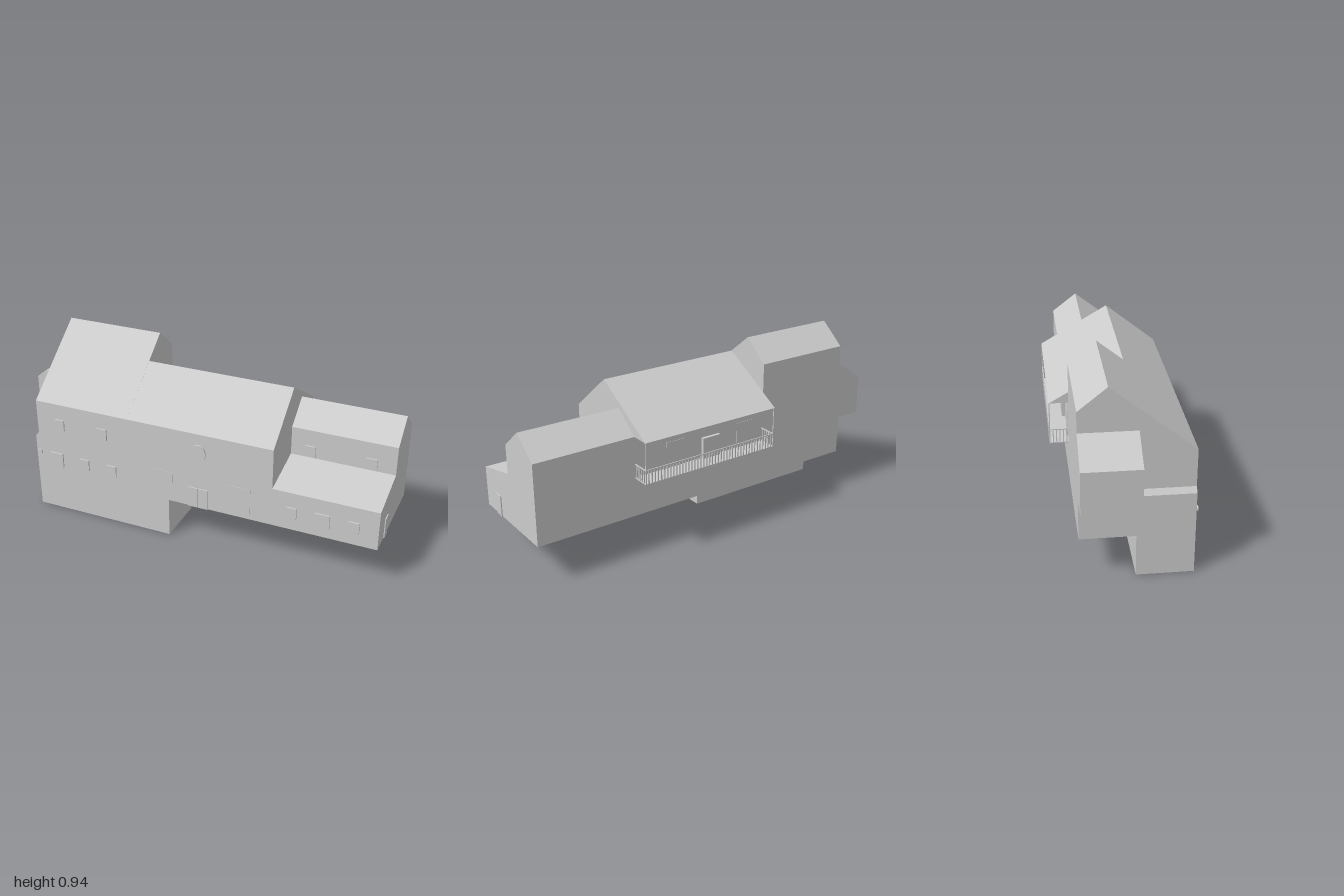
import * as THREE from 'three';

const material = new THREE.MeshStandardMaterial({ color: 0xcccccc });

export function createModel() {
  const house = new THREE.Group();
  house.name = 'house';

  const add = (name, geometry, parent = house) => {
    const mesh = new THREE.Mesh(geometry, material);
    mesh.name = name;
    parent.add(mesh);
    return mesh;
  };

  // Box given by its two extreme corners
  const box = (name, x0, x1, y0, y1, z0, z1, parent) =>
    add(name, new THREE.BoxGeometry(x1 - x0, y1 - y0, z1 - z0), parent)
      .position.set((x0 + x1) / 2, (y0 + y1) / 2, (z0 + z1) / 2);

  const extrude = (points, depth) => new THREE.ExtrudeGeometry(
    new THREE.Shape(points.map(([a, b]) => new THREE.Vector2(a, b))),
    { depth, bevelEnabled: false });

  // Wing: a [z, y] gable profile swept along x
  const wing = (name, x0, x1, profile) => add(name,
    extrude(profile.map(([z, y]) => [-z, y]), x1 - x0).rotateY(Math.PI / 2).translate(x0, 0, 0));

  // Section: an [x, y] profile swept along z
  const section = (name, z0, z1, profile) => add(name, extrude(profile, z1 - z0).translate(0, 0, z0));

  // Main volumes
  wing('tallWing', -0.845, -0.315,
    [[0.31, 0.21], [0.31, 0.625], [-0.085, 0.94], [-0.22, 0.83], [-0.22, 0.21]]);
  wing('middleWing', -0.315, 0.465,
    [[0.31, 0.21], [0.31, 0.625], [0.045, 0.835], [-0.315, 0.625], [-0.22, 0.625], [-0.22, 0.21]]);
  wing('lowWing', 0.465, 0.995,
    [[0.31, 0.21], [0.31, 0.415], [0.05, 0.475], [0.05, 0.625], [-0.085, 0.73], [-0.22, 0.625], [-0.22, 0.21]]);
  section('sideWall', -0.22, 0.31,
    [[-0.865, 0.21], [-0.845, 0.21], [-0.845, 0.44], [-0.865, 0.415]]);
  section('sideBay', -0.22, 0.05,
    [[-1, 0.415], [-0.845, 0.415], [-0.845, 0.73], [-1, 0.625]]);
  box('basement', -0.865, -0.09, 0, 0.21, 0.04, 0.31);

  // Small windows: centre x, centre y, wall z
  const windows = [
    [-0.71, 0.51, 0.31], [-0.46, 0.51, 0.31], [-0.575, 0.305, 0.31], [-0.415, 0.305, 0.31],
    [0.565, 0.305, 0.31], [0.875, 0.305, 0.31], [0.565, 0.51, 0.05], [0.875, 0.51, 0.05],
  ];
  for (const [x, y, z] of windows)
    box('window', x - 0.027, x + 0.027, y - 0.03, y + 0.03, z, z + 0.008);

  // Wider ground floor windows
  for (const x of [-0.742, 0.72])
    box('wideWindow', x - 0.038, x + 0.038, 0.26, 0.338, 0.31, 0.318);
  for (const x of [-0.13, 0.29])
    box('largeWindow', x - 0.063, x + 0.063, 0.24, 0.38, 0.31, 0.312);

  // Oval window and round lamp
  const disc = (name, x, y, rx, ry) => {
    const mesh = add(name, new THREE.CylinderGeometry(1, 1, 0.009, 24).rotateX(Math.PI / 2));
    mesh.scale.set(rx, ry, 1);
    mesh.position.set(x, y, 0.3145);
  };
  disc('ovalWindow', 0.077, 0.522, 0.04, 0.047);
  disc('wallLamp', -0.845, 0.325, 0.014, 0.014);

  // Double front door and side door
  box('frontDoorLeaf', 0.022, 0.073, 0.21, 0.32, 0.31, 0.316);
  box('frontDoorLeaf', 0.077, 0.128, 0.21, 0.32, 0.31, 0.316);
  box('sideDoor', 0.995, 1, 0.21, 0.318, 0.15, 0.2);

  // Balcony at the back
  const balcony = new THREE.Group();
  balcony.name = 'balcony';
  house.add(balcony);
  const x0 = -0.315, x1 = 0.465, zOut = -0.315, zWall = -0.22;
  box('balconyFloor', x0, x1, 0.41, 0.415, zOut, zWall, balcony);
  box('backRail', x0, x1, 0.481, 0.486, zOut, zOut + 0.005, balcony);
  for (const x of [x0, x1 - 0.005]) {
    box('sideRail', x, x + 0.005, 0.481, 0.486, zOut, zWall, balcony);
    box('post', x, x + 0.005, 0.415, 0.625, zOut, zOut + 0.005, balcony);
    for (let i = 1; i < 6; i++) {
      const z = zOut + i * 0.0165;
      box('baluster', x, x + 0.005, 0.415, 0.481, z, z + 0.005, balcony);
    }
  }
  const count = 44;
  for (let i = 1; i < count; i++) {
    const x = x0 + (x1 - x0) * i / count;
    box('baluster', x - 0.003, x + 0.003, 0.415, 0.481, zOut, zOut + 0.005, balcony);
  }
  box('balconyBench', -0.03, 0.075, 0.415, 0.525, -0.237, zWall, balcony);
  for (const x of [0.235, -0.195])
    box('balconyDoor', x - 0.05, x + 0.05, 0.415, 0.55, zWall - 0.002, zWall, balcony);

  return house;
}
